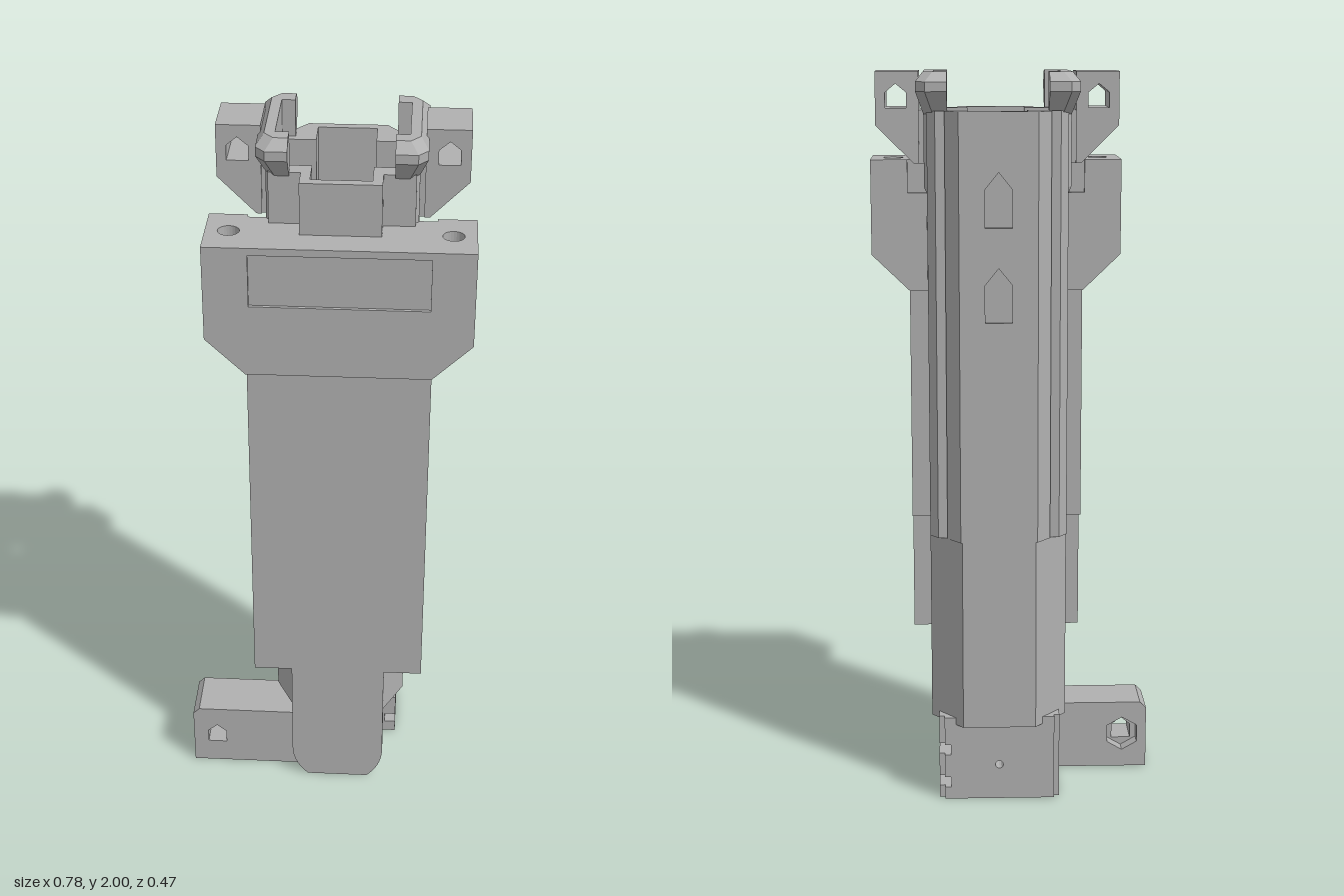
import * as THREE from 'three';

const CX = 0.043; // mirror plane of the hollow body

export function createModel() {
  const model = new THREE.Group();
  const grey = new THREE.MeshStandardMaterial({ color: 0xb0b0b0 });
  grey.name = 'plain grey';

  const add = (name, geometry) => {
    const mesh = new THREE.Mesh(geometry, grey);
    mesh.name = name;
    model.add(mesh);
    return mesh;
  };
  const toShape = (pts, holes = []) => {
    const shape = pts instanceof THREE.Shape ? pts : new THREE.Shape(pts.map(p => new THREE.Vector2(...p)));
    holes.forEach(h => shape.holes.push(new THREE.Path(h.map(p => new THREE.Vector2(...p)))));
    return shape;
  };
  const extrude = (pts, holes, depth) =>
    new THREE.ExtrudeGeometry(toShape(pts, holes), { depth, bevelEnabled: false, curveSegments: 16 });
  // Outline in (x, z), raised from y0 to y1
  const rise = (name, pts, y0, y1, holes) =>
    add(name, extrude(pts, holes, y1 - y0).rotateX(Math.PI / 2).translate(0, y1, 0));
  // Outline in (x, y), running from z0 to z1
  const along = (name, pts, z0, z1, holes) =>
    add(name, extrude(pts, holes, z1 - z0).translate(0, 0, z0));
  // Outline in (z, y), running from x0 to x1
  const across = (name, pts, x0, x1, holes) =>
    add(name, extrude(pts.map(([z, y]) => [-z, y]), (holes || []).map(h => h.map(([z, y]) => [-z, y])), x1 - x0)
      .rotateY(Math.PI / 2).translate(x0, 0, 0));
  const rect = (a, b, c, d) => [[a, b], [c, b], [c, d], [a, d]];
  const gable = (c, w, y0, yEave, yTop) => [[c - w, y0], [c + w, y0], [c + w, yEave], [c, yTop], [c - w, yEave]];
  const ring = (x, y, r, n, start = 0) => Array.from({ length: n }, (_, i) => {
    const a = start + i / n * Math.PI * 2;
    return [x + r * Math.cos(a), y + r * Math.sin(a)];
  });
  const side = (s, pts) => pts.map(([u, z]) => [CX + s * u, z]);
  const both = half => [...side(1, half), ...side(-1, half).reverse()];

  // Upper body: corner posts, side panels, front and rear walls around the cavity
  for (const s of [-1, 1]) {
    rise('rearCorner', side(s, [[0.078, -0.235], [0.104, -0.235], [0.14, -0.19], [0.14, -0.18], [0.165, -0.18],
      [0.187, -0.15], [0.187, -0.125], [0.078, -0.125]]), 0.75, 1.9);
    rise('frontCorner', side(s, [[0.078, 0.04], [0.187, 0.04], [0.187, 0.085], [0.104, 0.085], [0.104, 0.15],
      [0.078, 0.15]]), 0.75, 1.9);
    const xs = [CX + s * 0.168, CX + s * 0.187].sort((a, b) => a - b);
    across('sideWall', rect(-0.125, 0.75, 0.04, 1.9), ...xs,
      [gable(-0.04, 0.04, 1.46, 1.56, 1.61), gable(-0.04, 0.04, 1.17, 1.27, 1.32)]);
  }
  along('rearWall', rect(CX - 0.078, 0.75, CX + 0.078, 1.9), -0.235, -0.21,
    [gable(CX, 0.036, 1.6, 1.7, 1.745), gable(CX, 0.036, 1.35, 1.45, 1.495)]);
  along('frontWall', rect(CX - 0.078, 0.75, CX + 0.078, 1.9), 0.125, 0.15);

  // Lower body: chamfered section with a floor, and a gabled groove on one flank
  const lower = both([[0.1, -0.235], [0.17, -0.15], [0.17, 0.078], [0.13, 0.155]]);
  rise('lowerBody', lower, 0.25, 0.75, [both([[0.078, -0.2], [0.078, -0.125], [0.15, -0.125], [0.15, 0.04],
    [0.078, 0.04], [0.078, 0.125]])]);
  rise('floor', lower, 0.22, 0.25);
  for (const s of [-1, 1]) {
    rise('lowerRearFlank', side(s, [[0.17, -0.15], [0.187, -0.13], [0.187, -0.11], [0.17, -0.11]]), 0.22, 0.75);
    rise('lowerFrontFlank', side(s, [[0.17, 0.03], [0.187, 0.03], [0.187, 0.045], [0.17, 0.078]]), 0.22, 0.75);
  }
  along('plainFlank', rect(CX - 0.187, 0.22, CX - 0.17, 0.75), -0.11, 0.03);
  across('groovedFlank', [[-0.11, 0.22], [0.03, 0.22], [0.03, 0.25], [-0.11, 0.25]], CX + 0.17, CX + 0.187);
  across('grooveGable', [[-0.11, 0.75], [-0.11, 0.67], [-0.04, 0.749], [0.03, 0.67], [0.03, 0.75]],
    CX + 0.17, CX + 0.187);

  // Closed solid through matching outlines at rising heights
  const loft = (rings, heights) => {
    const pos = [];
    const flip = THREE.ShapeUtils.area(rings[0].map(p => new THREE.Vector2(...p))) < 0;
    const loops = rings.map(r => (flip ? [...r].reverse() : r));
    const put = (k, i) => pos.push(loops[k][i][0], heights[k], loops[k][i][1]);
    const n = loops[0].length, last = loops.length - 1;
    for (let k = 0; k < last; k++) {
      for (let i = 0; i < n; i++) {
        const j = (i + 1) % n;
        put(k, i); put(k + 1, j); put(k, j);
        put(k, i); put(k + 1, i); put(k + 1, j);
      }
    }
    for (const k of [0, last]) {
      const tris = THREE.ShapeUtils.triangulateShape(loops[k].map(p => new THREE.Vector2(...p)), []);
      tris.forEach(t => (k ? [...t].reverse() : t).forEach(i => put(k, i)));
    }
    const g = new THREE.BufferGeometry();
    g.setAttribute('position', new THREE.Float32BufferAttribute(pos, 3));
    g.computeVertexNormals();
    return g;
  };

  // Flared C-shaped clips at the mouth
  const clip = (u, zb, zf) => [[0.133, zb], [u - 0.025, zb], [u, zb + 0.03], [u, zf - 0.03], [u - 0.025, zf],
    [0.133, zf], [0.133, 0.065], [0.168, 0.065], [0.168, -0.145], [0.133, -0.145]];
  for (const s of [-1, 1]) {
    const rings = [[0.187, -0.165, 0.085], [0.195, -0.165, 0.085], [0.195, -0.165, 0.085], [0.215, -0.22, 0.135],
      [0.215, -0.22, 0.135], [0.195, -0.19, 0.105]].map(p => side(s, clip(...p)));
    add('mouthClip', loft(rings, [1.68, 1.7, 1.89, 1.95, 1.975, 2]));
  }

  // Side lugs with a cross hole
  for (const s of [-1, 1]) {
    const lug = side(s, [[0.208, 2], [0.322, 2], [0.322, 1.86], [0.222, 1.76], [0.208, 1.76]]);
    along('sideLug', lug, -0.115, 0.03, [gable(CX + s * 0.268, 0.028, 1.905, 1.945, 1.968)]);
    // Web tying the lug to the wall
    along('lugWeb', side(s, [[0.18, 1.76], [0.212, 1.76], [0.212, 1.9], [0.18, 1.9]]), -0.11, 0.025);
  }

  // Front cover, wrapping the front of the body
  const cover = zBack => both([[0.24, 0.2], [0.24, zBack], [0.1, zBack], [0.1, 0.15]]);
  rise('frontCover', cover(0.055), 0.75, 1.5);
  rise('frontCoverLower', rect(-0.197, 0.13, 0.283, 0.2), 0.4, 0.75);

  // Wide head: tapered base, slotted middle, drilled top and framed front
  const headTop = both([[0.344, 0.225], [0.344, 0.038], [0.243, 0.038], [0.243, 0.052], [0.187, 0.052],
    [0.1, 0.06], [0.1, 0.15]]);
  const slotted = both([[0.344, 0.225], [0.344, 0.185], [0.25, 0.185], [0.25, 0.1], [0.344, 0.1], [0.344, 0.038],
    [0.243, 0.038], [0.243, 0.052], [0.187, 0.052], [0.1, 0.06], [0.1, 0.15]]);
  const bores = [-1, 1].map(s => ring(CX + s * 0.284, 0.135, 0.028, 24));
  rise('headTop', headTop, 1.71, 1.76, bores);
  rise('headSlots', slotted, 1.67, 1.71);
  for (const s of [-1, 1]) {
    along('headWing', side(s, [[0.19, 1.67], [0.344, 1.67], [0.344, 1.5], [0.24, 1.4], [0.19, 1.4]]), 0.038, 0.225);
  }
  along('headFill', rect(CX - 0.19, 1.4, CX + 0.19, 1.67), 0.15, 0.225);
  const face = [[-0.301, 1.76], [0.387, 1.76], [0.387, 1.5], [0.283, 1.4], [-0.197, 1.4], [-0.301, 1.5]];
  along('headFace', face, 0.225, 0.234, [rect(-0.185, 1.597, 0.275, 1.74)]);

  // Hinge tongue with a rounded, flattened end
  const tongue = new THREE.Shape();
  const r = 0.133, a = Math.asin(0.1 / r);
  tongue.moveTo(CX - r, 0.42);
  tongue.lineTo(CX - r, 0.1);
  tongue.absarc(CX, 0.1, r, Math.PI, Math.PI + a, false);
  tongue.absarc(CX, 0.1, r, -a, 0, false);
  tongue.lineTo(CX + r, 0.42);
  along('hingeTongue', tongue, 0.163, 0.2);

  // Hinge pin and swinging arm
  add('hingePin', new THREE.CylinderGeometry(0.05, 0.05, 0.19, 32).rotateX(Math.PI / 2).translate(CX, 0.1, 0.08));
  const arm = () => {
    const s = new THREE.Shape();
    s.moveTo(-0.39, 0);
    s.lineTo(CX, 0);
    s.absarc(CX, 0.1, 0.1, -Math.PI / 2, Math.PI / 2, false);
    s.lineTo(CX - 0.02, 0.196);
    s.lineTo(-0.372, 0.196);
    s.lineTo(-0.39, 0.178);
    return s;
  };
  along('armFront', arm(), 0.05, 0.155, [gable(-0.32, 0.027, 0.073, 0.113, 0.135)]);
  along('armNutPocket', arm(), 0.01, 0.05, [ring(-0.32, 0.1, 0.05, 6, Math.PI / 6)]);

  // Foot block with edge notches and a small rear hole
  const notch = y => [[0.21, y], [0.178, y], [0.178, y + 0.03], [0.21, y + 0.03]];
  along('footBlock', [[-0.125, 0], [0.21, 0], ...notch(0.035), ...notch(0.13), [0.21, 0.24], [-0.125, 0.24]],
    -0.195, -0.008, [ring(CX, 0.1, 0.011, 12)]);
  along('footRearPlate', [[-0.11, 0], [0.195, 0], [0.195, 0.035], [0.178, 0.035], [0.178, 0.065], [0.195, 0.065],
    [0.195, 0.13], [0.178, 0.13], [0.178, 0.16], [0.195, 0.16], [0.195, 0.24], [-0.11, 0.24]],
    -0.21, -0.195, [ring(CX, 0.1, 0.011, 12)]);

  return model;
}
